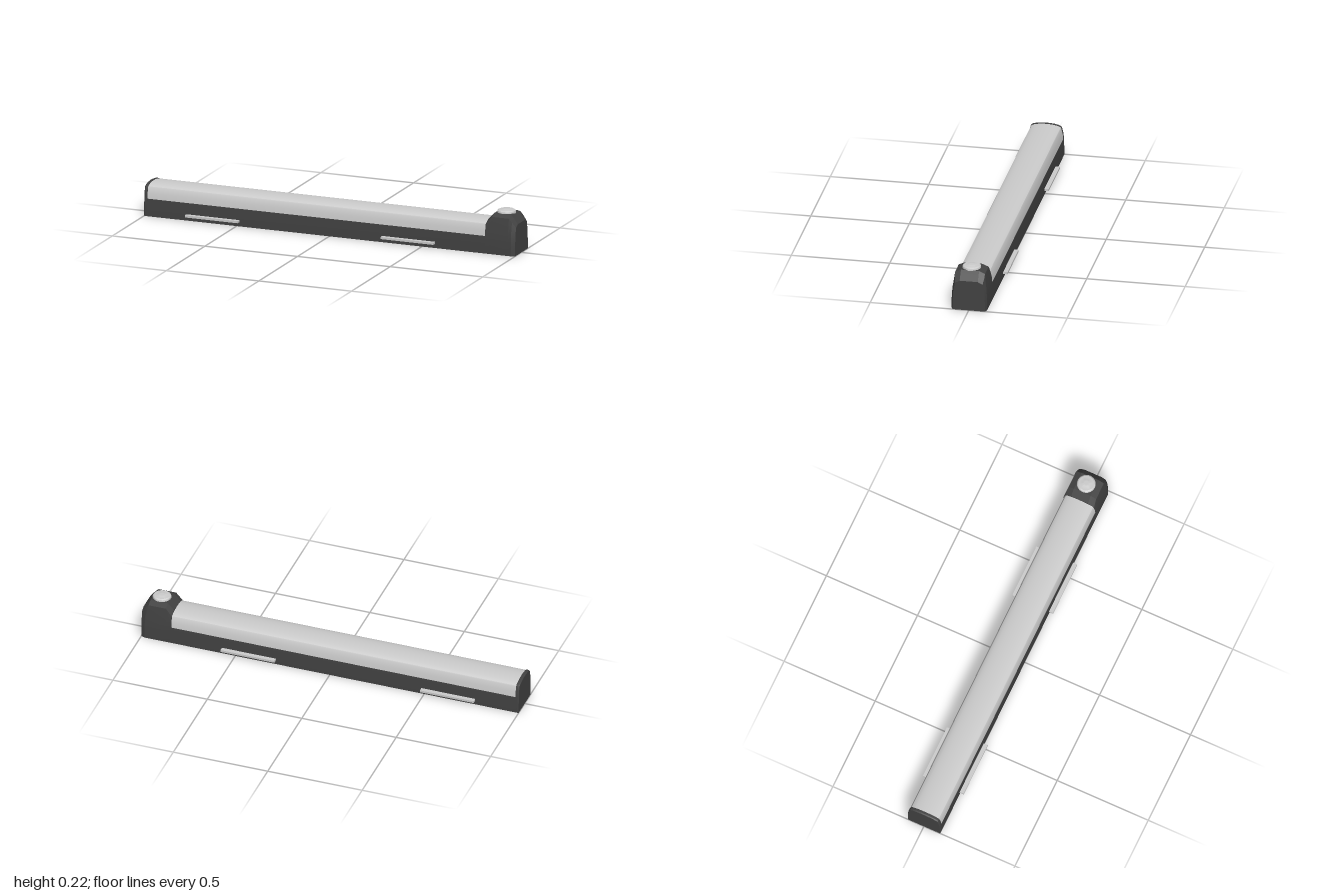
import * as THREE from 'three';
import { toCreasedNormals } from 'three/addons/utils/BufferGeometryUtils.js';

const dark = new THREE.MeshStandardMaterial({ color: 0x424242 });
const grey = new THREE.MeshStandardMaterial({ color: 0xcccccc });

// Loft symmetric cross-sections along x; each section lists [half width, height] from bottom to top.
function loft(sections, crease = 0.35) {
  const rings = sections.map(({ x, half }) => {
    const right = half.map(([z, y]) => [x, y, z]);
    const left = half.filter(([z]) => z > 0).reverse().map(([z, y]) => [x, y, -z]);
    return [...right, ...left];
  });
  const n = rings[0].length, pos = [];
  const tri = (a, b, c) => pos.push(...a, ...b, ...c);
  for (let s = 0; s < rings.length - 1; s++) {
    const a = rings[s], b = rings[s + 1];
    for (let i = 0; i < n; i++) {
      const j = (i + 1) % n;
      tri(a[i], b[i], b[j]);
      tri(a[i], b[j], a[j]);
    }
  }
  // flat end faces
  const first = rings[0], last = rings[rings.length - 1];
  for (let i = 1; i < n - 1; i++) {
    tri(first[0], first[i], first[i + 1]);
    tri(last[0], last[i + 1], last[i]);
  }
  const geo = new THREE.BufferGeometry();
  geo.setAttribute('position', new THREE.Float32BufferAttribute(pos, 3));
  geo.computeVertexNormals();
  return toCreasedNormals(geo, crease);
}

export function createModel() {
  const model = new THREE.Group();
  const add = (name, geometry, material) => {
    const mesh = new THREE.Mesh(geometry, material);
    mesh.name = name;
    model.add(mesh);
    return mesh;
  };

  // long base tray
  const tray = [[0.09, 0], [0.09, 0.05], [0.088, 0.09]];
  add('baseTray', loft([{ x: -0.985, half: tray }, { x: 0.845, half: tray }]), dark);

  // arched cover: sloping sides and a gently curved top
  const arch = [[0.087, 0.089], [0.084, 0.118], [0.077, 0.146]];
  for (let i = 1; i <= 6; i++) {
    const t = (i / 6) * Math.PI / 2;
    arch.push([i === 6 ? 0 : 0.077 * Math.cos(t), 0.146 + 0.019 * Math.sin(t)]);
  }
  add('cover', loft([{ x: -0.987, half: arch }, { x: 0.845, half: arch }], 0.3), grey);

  // thin end cap following the cover
  const cap = [[0.09, 0], [0.09, 0.05], ...arch.map(([z, y]) => [z * 1.02, y + 0.002])];
  const capOuter = cap.map(([z, y]) => [z * 0.97, y * 0.985]);
  add('endCap', loft([
    { x: -1, half: capOuter }, { x: -0.994, half: cap }, { x: -0.983, half: cap },
  ]), dark);

  // raised head with bevelled ends
  const full = [[0.09, 0], [0.09, 0.055], [0.087, 0.115], [0.076, 0.189], [0.046, 0.202]];
  add('head', loft([
    { x: 0.84, half: [[0.09, 0], [0.09, 0.055], [0.087, 0.115], [0.079, 0.15], [0.046, 0.168]] },
    { x: 0.872, half: full },
    { x: 0.964, half: full },
    { x: 0.98, half: [[0.09, 0], [0.09, 0.055], [0.086, 0.115], [0.075, 0.171], [0.046, 0.184]] },
    { x: 1, half: [[0.082, 0], [0.082, 0.045], [0.079, 0.095], [0.07, 0.144], [0.046, 0.157]] },
  ], 0.2), dark);

  // round button on the head
  const profile = [[0, 0.198], [0.047, 0.198], [0.047, 0.206], [0.045, 0.211], [0.039, 0.215],
    [0.026, 0.215], [0.018, 0.2175], [0.009, 0.2188], [0, 0.219]];
  const button = add('button', toCreasedNormals(
    new THREE.LatheGeometry(profile.map(([r, y]) => new THREE.Vector2(r, y)), 32), 0.5), grey);
  button.position.x = 0.92;

  // slim side tabs, two per side
  for (const x of [-0.628, 0.428]) {
    for (const side of [-1, 1]) {
      const tab = add('sideTab', new THREE.BoxGeometry(0.285, 0.011, 0.024), grey);
      tab.position.set(x, 0.027, side * 0.1);
    }
  }
  return model;
}
